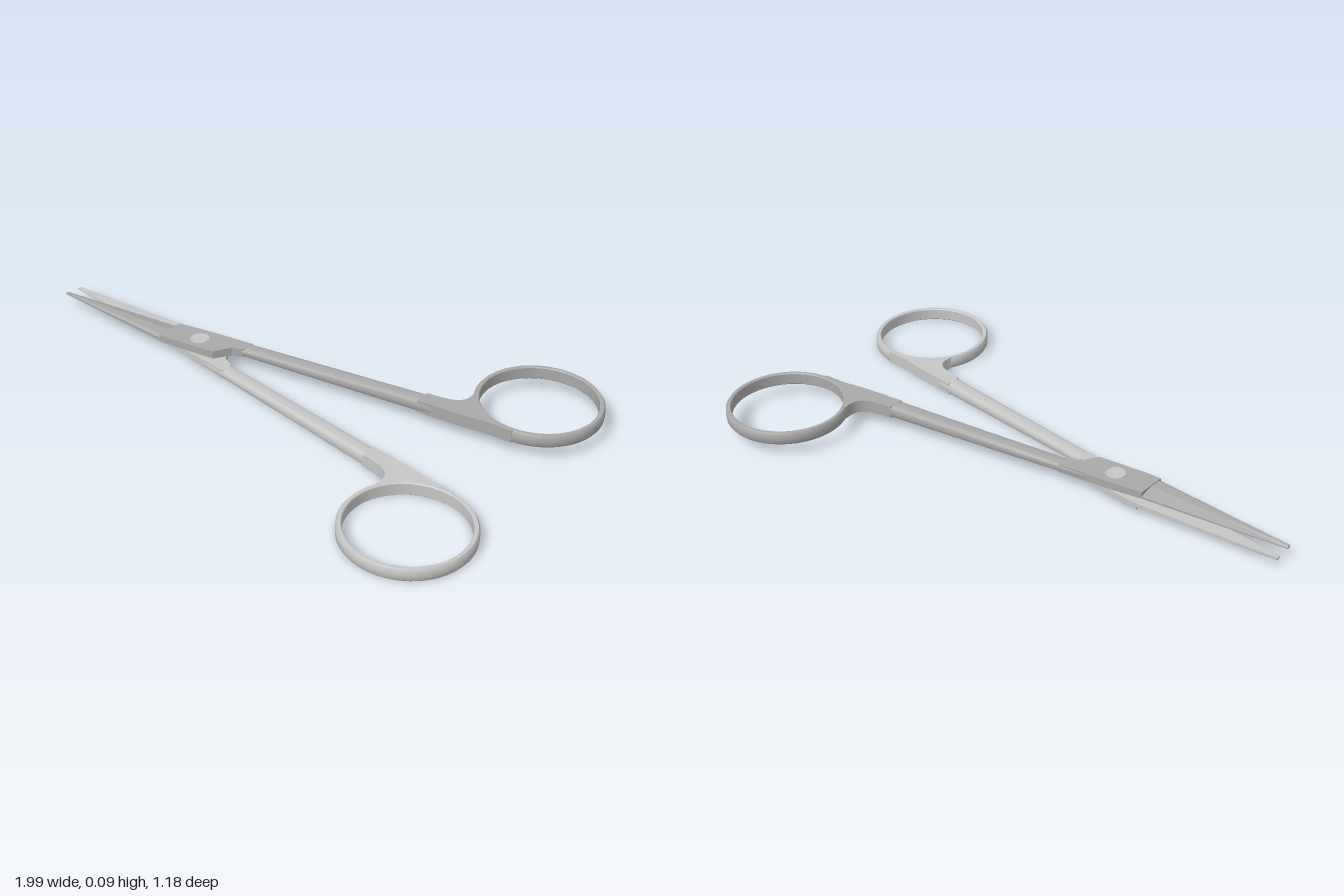
import * as THREE from 'three';
import { toCreasedNormals } from 'three/addons/utils/BufferGeometryUtils.js';

const PIVOT = new THREE.Vector3(-0.37, 0.0455, 0.0235);
const BASE = 0.0455; // mating plane of the two halves
const RING = { x: 0.762, z: -0.38, r: 0.214, h: 0.0455 };

// height of the outer surface along the length
const topAt = (x) => 0.07 + 0.021 * THREE.MathUtils.clamp((x + 0.5) / 0.95, 0, 1);

// skin over cross-sections that follow each other along +x
function loft(sections, crease) {
  const n = sections[0].length, pos = sections.flat(2), idx = [];
  for (let i = 0; i < sections.length - 1; i++)
    for (let j = 0; j < n; j++) {
      const a = i * n + j, b = i * n + (j + 1) % n;
      idx.push(a, b, b + n, a, b + n, a + n);
    }
  const end = (sections.length - 1) * n;
  for (let j = 1; j < n - 1; j++) idx.push(0, j + 1, j, end, end + j, end + j + 1);
  const g = new THREE.BufferGeometry();
  g.setAttribute('position', new THREE.Float32BufferAttribute(pos, 3));
  g.setIndex(idx);
  return toCreasedNormals(g, crease);
}

// plan outline raised from the mating plane to the outer surface
function plate(points) {
  const shape = new THREE.Shape(points.map(([x, z]) => new THREE.Vector2(x, -z)));
  const g = new THREE.ExtrudeGeometry(shape, { depth: 1, bevelEnabled: false });
  g.rotateX(-Math.PI / 2);
  const p = g.attributes.position;
  for (let i = 0; i < p.count; i++) p.setY(i, p.getY(i) > 0.5 ? topAt(p.getX(i)) : BASE);
  return toCreasedNormals(g, 0.6);
}

// tapering blade with a ground cutting side
function bladeGeometry() {
  const sections = [0, 0.5, 1].map((t) => {
    const x = -1 + 0.5 * t;
    const cut = 0.06 - 0.07 * t, spine = 0.075 + 0.02 * t;
    const w = spine - cut, h = 0.009 + 0.012 * t;
    return [
      [x, BASE, spine], [x, BASE, cut], [x, BASE + h * 0.4, cut],
      [x, BASE + h, cut + w * 0.5], [x, BASE + h, spine - w * 0.12], [x, BASE + h * 0.7, spine],
    ];
  });
  return loft(sections, 0.2);
}

// long shank with softly rounded edges
function shankGeometry() {
  const soft = (v) => Math.sign(v) * Math.abs(v) ** 0.55;
  const sections = [-0.3, -0.05, 0.2, 0.45, 0.56].map((x) => {
    const outer = -0.03 - 0.17 * (x + 0.4), inner = -0.008 - 0.163 * (x + 0.21);
    const zc = (outer + inner) / 2, w = (inner - outer) / 2;
    const h = (topAt(x) - BASE) / 2, yc = BASE + h;
    return Array.from({ length: 24 }, (_, i) => {
      const a = (i / 24) * Math.PI * 2;
      return [x, yc - h * soft(Math.sin(a)), zc + w * soft(Math.cos(a))];
    });
  });
  return loft(sections, 0.7);
}

// flared web that joins the shank to the finger ring
function webGeometry() {
  const pts = [[0.54, -0.13], [0.46, -0.119], [0.46, -0.176]];
  const fillet = new THREE.CubicBezierCurve(
    new THREE.Vector2(0.5, -0.183), new THREE.Vector2(0.56, -0.195),
    new THREE.Vector2(0.592, -0.215), new THREE.Vector2(0.578, -0.275));
  fillet.getPoints(10).forEach((p) => pts.push([p.x, p.y]));
  for (let i = 0; i <= 14; i++) {
    const a = THREE.MathUtils.lerp(2.62, 1.42, i / 14);
    pts.push([RING.x + 0.204 * Math.cos(a), RING.z + 0.204 * Math.sin(a)]);
  }
  pts.push([0.79, -0.167], [0.7, -0.159], [0.62, -0.142]);
  return plate(pts);
}

function ringGeometry() {
  const { r, h } = RING;
  const profile = [
    [r - 0.019, 0.003], [r - 0.016, 0], [r - 0.006, 0], [r - 0.001, 0.007], [r, h / 2],
    [r - 0.001, h - 0.007], [r - 0.006, h], [r - 0.016, h], [r - 0.019, h - 0.003], [r - 0.019, 0.003],
  ].map(([x, y]) => new THREE.Vector2(x, y));
  const g = new THREE.LatheGeometry(profile, 72);
  g.translate(RING.x, BASE, RING.z);
  return toCreasedNormals(g, 0.6);
}

// one complete half, with its origin at the pivot
function makeHalf(name, material) {
  const half = new THREE.Group();
  half.name = name;
  const parts = {
    blade: bladeGeometry(),
    joint: plate([
      [-0.5, -0.01], [-0.5, 0.095], [-0.45, 0.091], [-0.275, 0.063],
      [-0.24, 0.005], [-0.2, -0.012], [-0.2, -0.062], [-0.38, -0.034],
    ]),
    shank: shankGeometry(),
    ringWeb: webGeometry(),
    fingerRing: ringGeometry(),
  };
  for (const [part, geometry] of Object.entries(parts)) {
    geometry.translate(-PIVOT.x, -PIVOT.y, -PIVOT.z);
    const mesh = new THREE.Mesh(geometry, material);
    mesh.name = part;
    half.add(mesh);
  }
  half.position.copy(PIVOT);
  return half;
}

export function createModel() {
  const steel = new THREE.MeshStandardMaterial({ color: 0xa9a9a9 });
  steel.name = 'steel';
  const brightSteel = new THREE.MeshStandardMaterial({ color: 0xc6c6c6 });
  brightSteel.name = 'brightSteel';

  const model = new THREE.Group();
  model.name = 'scissors';

  // the lower half is the upper one turned over about the midline
  const upper = makeHalf('upperHalf', steel);
  const lower = makeHalf('lowerHalf', brightSteel);
  lower.quaternion.setFromAxisAngle(new THREE.Vector3(1, 0, -0.023).normalize(), Math.PI);
  model.add(upper, lower);

  // pivot screw through both joints
  const screw = new THREE.Mesh(new THREE.CylinderGeometry(0.034, 0.034, 0.056, 32), brightSteel);
  screw.name = 'pivotScrew';
  screw.position.copy(PIVOT);
  model.add(screw);

  return model;
}
